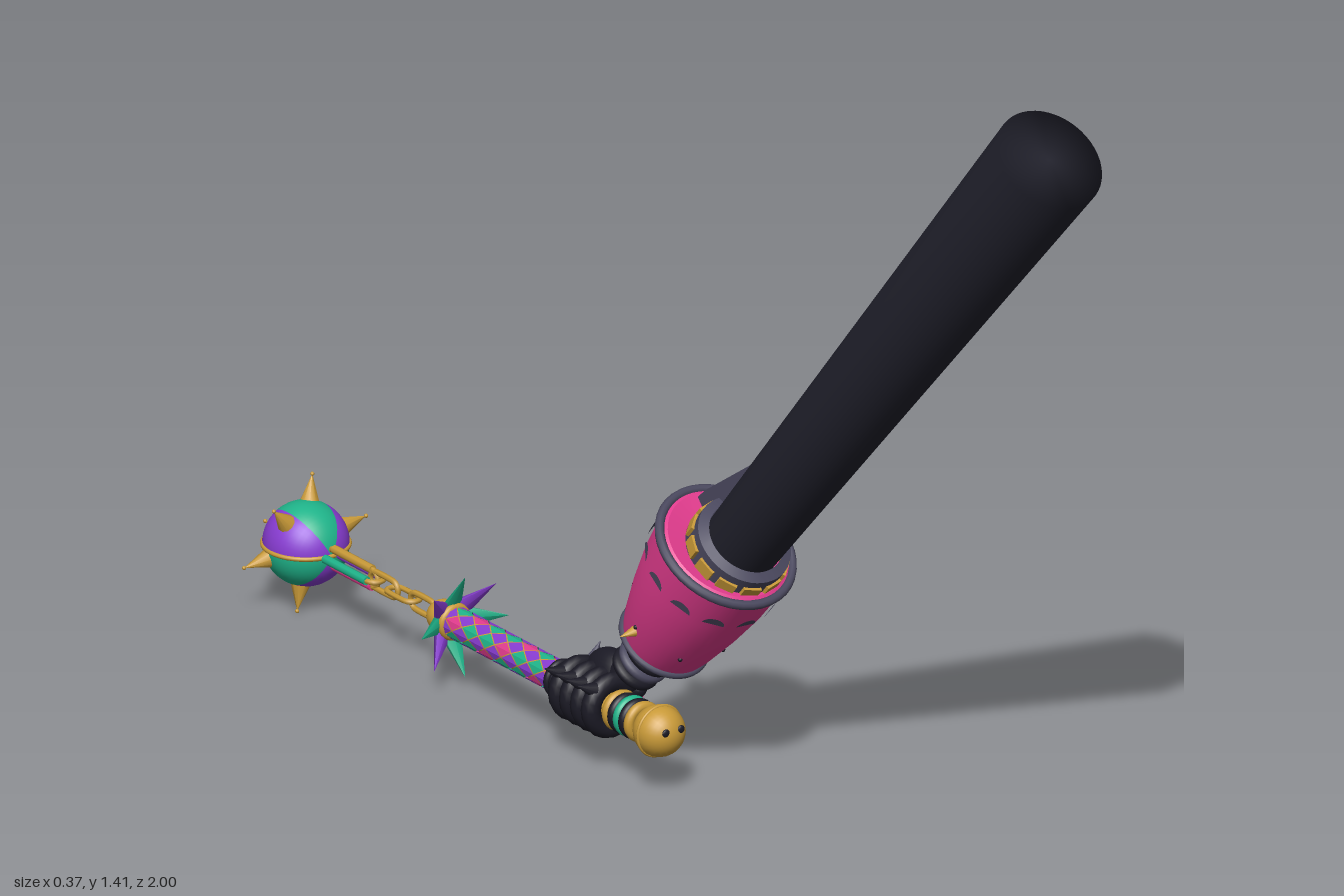
import * as THREE from 'three';
import { toCreasedNormals } from 'three/addons/utils/BufferGeometryUtils.js';

const mat = (name, color) => {
  const m = new THREE.MeshStandardMaterial({ color, side: THREE.DoubleSide });
  m.name = name;
  return m;
};
const V = (x, y, z) => new THREE.Vector3(x, y, z);
const UP = V(0, 1, 0);

export function createModel() {
  const black = mat('sleeve black', 0x20202b), ink = mat('glove ink', 0x1b1a25);
  const grey = mat('metal grey', 0x4a485e), pink = mat('pink', 0xe23c8e);
  const gold = mat('gold', 0xc99a38), teal = mat('teal', 0x1fb48a), purple = mat('purple', 0x883cd2);
  const root = new THREE.Group();
  root.name = 'armWithFlail';

  const add = (parent, name, geo, m, x = 0, y = 0, z = 0) => {
    const mesh = new THREE.Mesh(geo, m);
    mesh.name = name;
    mesh.position.set(x, y, z);
    parent.add(mesh);
    return mesh;
  };
  const group = (parent, name) => {
    const g = new THREE.Group();
    g.name = name;
    parent.add(g);
    return g;
  };
  // Group at a whose y axis runs to b, with x kept close to world x
  const frame = (name, a, b) => {
    const g = group(root, name);
    const y = b.clone().sub(a).normalize();
    const z = V(1, 0, 0).cross(y).normalize();
    g.quaternion.setFromRotationMatrix(new THREE.Matrix4().makeBasis(y.clone().cross(z), y, z));
    g.position.copy(a);
    return g;
  };
  const profile = (pts, n = 48) => new THREE.LatheGeometry(pts.map(p => new THREE.Vector2(...p)), n);
  const lathe = pts => toCreasedNormals(profile(pts), 0.6);
  const ring = (parent, name, r, tube, m, y) => {
    const t = add(parent, name, new THREE.TorusGeometry(r, tube, 10, 40), m, 0, y, 0);
    t.rotation.x = Math.PI / 2;
    return t;
  };
  const cone = (parent, name, a, b, r, m, sides = 10) => {
    const d = b.clone().sub(a), mid = a.clone().add(b).multiplyScalar(0.5);
    const c = add(parent, name, new THREE.ConeGeometry(r, d.length(), sides), m, mid.x, mid.y, mid.z);
    c.quaternion.setFromUnitVectors(UP, d.normalize());
    return c;
  };
  // Thin upright plate lying in the local zy plane
  const fin = (parent, name, pts, m) => {
    const s = new THREE.Shape(pts.map(p => new THREE.Vector2(...p)));
    const g = new THREE.ExtrudeGeometry(s, { depth: 0.008, bevelEnabled: false });
    g.translate(0, 0, -0.004).rotateY(-Math.PI / 2);
    return add(parent, name, g, m);
  };

  // Sleeve
  const elbow = V(0.01, 0.455, 0.185), shoulder = V(0.086, 1.36, 0.927);
  const sleeve = frame('sleeve', elbow, shoulder);
  const len = elbow.distanceTo(shoulder);
  add(sleeve, 'sleeveTube', profile([[0.06, -0.05], [0.064, 0], [0.094, len], [0, len]]), black);
  add(sleeve, 'collar', lathe([[0.07, -0.04], [0.083, -0.04], [0.083, 0.012], [0.066, 0.018]]), grey);
  for (let i = 0; i < 12; i++) {
    const a = (i + 0.5) * Math.PI / 6;
    const b = add(sleeve, 'collarBolt', new THREE.BoxGeometry(0.032, 0.022, 0.01), gold,
      Math.sin(a) * 0.082, -0.014, Math.cos(a) * 0.082);
    b.rotation.y = a;
  }
  fin(sleeve, 'elbowFin', [[-0.055, 0.2], [-0.055, -0.05], [-0.118, -0.06], [-0.112, -0.01]], grey);

  // Gauntlet
  const wristTop = V(-0.018, 0.235, 0.01), cuff = V(0.002, 0.44, 0.153);
  const gauntlet = frame('gauntlet', wristTop, cuff);
  const gl = wristTop.distanceTo(cuff);
  add(gauntlet, 'gauntletShell', lathe([[0.03, -0.005], [0.072, 0], [0.082, 0.03], [0.098, 0.1],
    [0.11, 0.17], [0.117, gl], [0.105, gl + 0.006], [0.07, gl - 0.002]]), pink);
  ring(gauntlet, 'cuffRim', 0.117, 0.008, grey, gl);
  ring(gauntlet, 'wristRim', 0.074, 0.006, grey, 0.002);
  for (let i = 0; i < 12; i++) {
    const slot = group(gauntlet, 'gauntletSlot');
    slot.rotation.y = i * Math.PI / 6;
    const half = add(slot, 'slot', new THREE.CircleGeometry(0.019, 16, 0, Math.PI), grey, 0, 0.19, 0.1155);
    half.scale.y = 0.8;
    half.rotation.x = 0.13;
    if (i % 2) add(slot, 'rivet', new THREE.SphereGeometry(0.004, 8, 6), ink, 0, 0.06, 0.089);
  }
  // Diamond blade on the back and a stud on the side
  fin(gauntlet, 'backDiamond', [[-0.1, 0.15], [-0.112, 0.115], [-0.132, 0.15], [-0.112, 0.185]], ink);
  cone(gauntlet, 'stud', V(-0.08, 0.05, 0), V(-0.112, 0.04, 0), 0.011, gold);

  // Ribbed wrist
  const palm = V(-0.045, 0.135, -0.075);
  const wrist = frame('wrist', wristTop, palm);
  add(wrist, 'wristCore', new THREE.CylinderGeometry(0.034, 0.036, 0.14, 24), ink, 0, 0.06, 0);
  for (let i = 0; i < 4; i++) ring(wrist, 'wristRing', 0.039 - i * 0.002, 0.01, i % 2 ? ink : grey, 0.015 + i * 0.023);

  // Hand gripping the handle
  const X = -0.08, Y = 0.115;
  const hand = group(root, 'hand');
  hand.position.set(X, Y, 0);
  const palmMesh = add(hand, 'palm', new THREE.SphereGeometry(1, 24, 16), ink, 0.034, 0.025, -0.092);
  palmMesh.scale.set(0.035, 0.05, 0.06);
  for (let i = 0; i < 4; i++) {
    const z = -0.05 - i * 0.03;
    add(hand, 'finger', new THREE.TorusGeometry(0.04, 0.0165, 10, 20), ink, 0, 0, z);
    cone(hand, 'knuckleSpike', V(-0.035, 0.035, z), V(-0.068, 0.05, z), 0.013, ink);
    cone(hand, 'knuckleSpike', V(0.03, 0.045, z), V(0.045, 0.072, z), 0.01, grey);
  }
  const thumb = add(hand, 'thumb', new THREE.CapsuleGeometry(0.016, 0.06, 6, 12), ink, 0.05, 0.005, -0.06);
  thumb.rotation.set(0.9, 0, 0.2);
  cone(hand, 'thumbSpike', V(0.06, 0.02, -0.05), V(0.105, 0.03, -0.05), 0.012, ink);
  const patch = add(hand, 'handStripe', new THREE.BoxGeometry(0.006, 0.014, 0.065), pink, 0.069, -0.018, -0.09);
  patch.rotation.x = -0.35;

  // Flail built along its own y axis, pointing backwards
  const flail = frame('flail', V(X, Y, 0), V(X, Y, -1));
  add(flail, 'pommel', new THREE.SphereGeometry(0.043, 28, 20), gold, 0, -0.083, 0);
  ring(flail, 'pommelBand', 0.0425, 0.003, gold, -0.083);
  for (const s of [1, -1]) {
    const mark = add(flail, 'pommelMark', new THREE.SphereGeometry(0.007, 12, 8), ink, s * 0.015, -0.122, 0.012);
    mark.scale.y = 0.5;
  }
  for (let i = 0; i < 5; i++) ring(flail, 'gripRing', 0.026, 0.009, [gold, ink, teal, ink, gold][i], -0.036 + i * 0.015);
  ring(flail, 'gripEnd', 0.027, 0.008, ink, 0.172);
  ring(flail, 'gripEnd', 0.027, 0.007, ink, 0.187);

  // Handle skinned with rows of coloured diamonds, gold wire between them
  add(flail, 'handleCore', new THREE.CylinderGeometry(0.024, 0.024, 0.5, 16), gold, 0, 0.24, 0);
  const step = Math.PI / 6, rise = 0.0225, R = 0.0272;
  const at = (a, y) => [Math.sin(a) * R, y, Math.cos(a) * R];
  const skins = [[teal, []], [purple, []], [pink, []]];
  for (let j = 0; j < 14; j++) for (let i = 0; i < 6; i++) {
    const a = (2 * i + j % 2) * step, y = 0.18 + j * rise;
    const c = [at(a + step * 0.92, y), at(a, y + rise * 0.92), at(a - step * 0.92, y), at(a, y - rise * 0.92)];
    const out = skins[j % 2 ? 1 : (i + j / 2) % 3 === 2 ? 2 : 0][1];
    for (let k = 0; k < 4; k++) out.push(...at(a, y), ...c[k], ...c[(k + 1) % 4]);
  }
  for (const [m, pos] of skins) {
    const g = new THREE.BufferGeometry();
    g.setAttribute('position', new THREE.Float32BufferAttribute(pos, 3));
    g.computeVertexNormals();
    add(flail, 'handleDiamonds', g, m);
  }

  // Leaf guard and end knob
  for (let i = 0; i < 8; i++) {
    const g = group(flail, 'guardLeaf');
    g.rotation.y = i * Math.PI / 4;
    const leaf = cone(g, 'leaf', V(0, 0.495, 0.015), V(0, 0.45, 0.088), 0.024, i % 2 ? purple : teal, 6);
    leaf.scale.z = 0.35;
  }
  ring(flail, 'guardRing', 0.024, 0.008, gold, 0.48);
  add(flail, 'endKnob', new THREE.SphereGeometry(0.028, 20, 14), gold, 0, 0.51, 0);

  // Chain: three short links, then a crossed pair of long ones with coloured bars
  const link = (y0, y1, w, tube, turn, bars) => {
    const g = group(flail, 'chainLink');
    g.position.y = (y0 + y1) / 2;
    g.rotation.y = turn;
    const h = (y1 - y0) / 2 - w, pts = [];
    for (let i = 0; i < 20; i++) {
      const a = (i + 0.5) * Math.PI / 10;
      pts.push(V(Math.cos(a) * w, Math.sin(a) * w + (i < 10 ? h : -h), 0));
    }
    add(g, 'link', new THREE.TubeGeometry(new THREE.CatmullRomCurve3(pts, true, 'centripetal'), 60, tube, 6, true), gold);
    bars.forEach((m, i) => add(g, 'linkBar', new THREE.CylinderGeometry(tube * 1.5, tube * 1.5, 2 * h, 8), m, i ? w : -w));
  };
  link(0.53, 0.6, 0.014, 0.005, Math.PI / 2, []);
  link(0.585, 0.655, 0.014, 0.005, 0, []);
  link(0.635, 0.71, 0.014, 0.005, Math.PI / 2, []);
  link(0.69, 0.825, 0.015, 0.005, Math.PI / 2, [gold, pink]);
  link(0.685, 0.83, 0.015, 0.005, 0, [teal, purple]);

  // Spiked ball with six panels meeting at the chain axis
  const ball = group(root, 'spikedBall');
  ball.position.set(X, Y, -0.888);
  for (let i = 0; i < 6; i++) {
    const panel = add(ball, 'ballPanel',
      new THREE.SphereGeometry(0.071, 8, 24, i * Math.PI / 3, Math.PI / 3), i % 2 ? purple : teal);
    panel.rotation.x = Math.PI / 2;
  }
  ring(ball, 'ballBand', 0.0705, 0.004, gold, 0);
  const spike = d => {
    d.normalize();
    cone(ball, 'ballSpike', d.clone().multiplyScalar(0.063), d.clone().multiplyScalar(0.112), 0.018, gold);
    add(ball, 'spikeTip', new THREE.SphereGeometry(0.0035, 8, 6), gold, d.x * 0.112, d.y * 0.112, d.z * 0.112);
  };
  for (let i = 0; i < 6; i++) {
    const a = (14 + i * 60) * Math.PI / 180;
    spike(V(Math.cos(a), Math.sin(a), i % 2 ? -0.22 : 0.16));
  }
  spike(V(0, 0, -1));
  return root;
}
